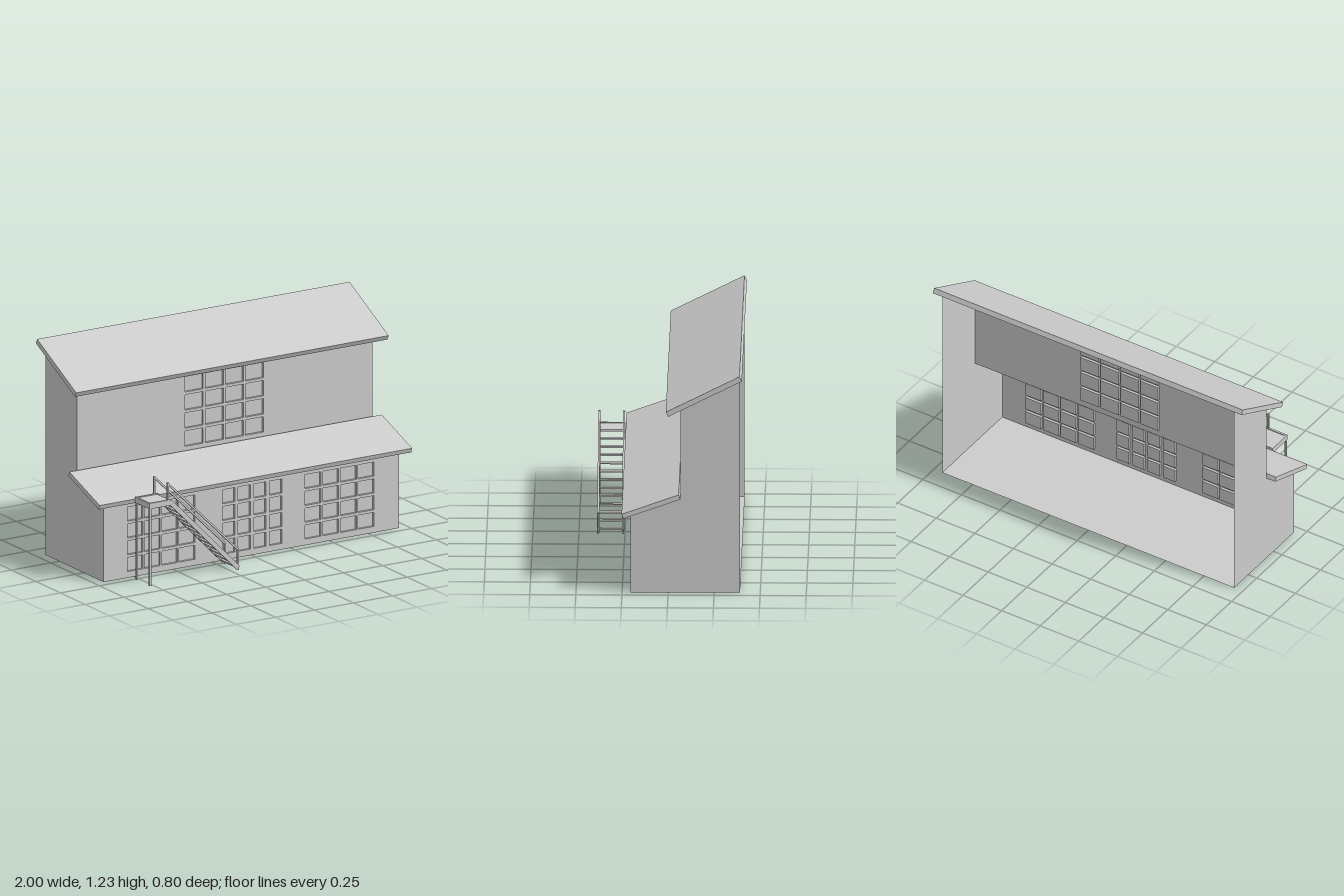
import * as THREE from 'three';

const mat = new THREE.MeshStandardMaterial({ color: 0xcccccc, side: THREE.DoubleSide, flatShading: true });

function add(parent, name, geometry, x = 0, y = 0, z = 0) {
  const mesh = new THREE.Mesh(geometry, mat);
  mesh.name = name;
  mesh.position.set(x, y, z);
  parent.add(mesh);
  return mesh;
}

// Straight bar in an x-y plane between two points
function bar(parent, name, [x0, y0], [x1, y1], z, thick, depth) {
  const geo = new THREE.BoxGeometry(Math.hypot(x1 - x0, y1 - y0), thick, depth);
  const mesh = add(parent, name, geo, (x0 + x1) / 2, (y0 + y1) / 2, z);
  mesh.rotation.z = Math.atan2(y1 - y0, x1 - x0);
}

// Sloped slab spanning x, its upper face running from the front to the back edge
function roof(parent, name, [z0, y0], [z1, y1], thick) {
  const geo = new THREE.BoxGeometry(2, thick, Math.hypot(z1 - z0, y1 - y0));
  geo.translate(0, -thick / 2, 0);
  const mesh = add(parent, name, geo, 0, (y0 + y1) / 2, (z0 + z1) / 2);
  mesh.rotation.x = Math.atan2(y1 - y0, z0 - z1);
}

const HALF = 0.945;
const RECESS = 0.015;

function rect(path, x0, y0, x1, y1) {
  return path.moveTo(x0, y0).lineTo(x1, y0).lineTo(x1, y1).lineTo(x0, y1).closePath();
}

// Thin wall with 4 x 4 groups of panes, each pane pushed back into the wall
function windowWall(parent, name, y0, y1, z, windows) {
  const shape = rect(new THREE.Shape(), -HALF, y0, HALF, y1);
  const group = new THREE.Group();
  group.name = name;
  parent.add(group);
  for (const { left, right, bottom, top, gap } of windows) {
    const w = (right - left - 3 * gap) / 4;
    const h = (top - bottom - 3 * 0.016) / 4;
    for (let i = 0; i < 4; i++) {
      for (let j = 0; j < 4; j++) {
        const x = left + i * (w + gap);
        const y = bottom + j * (h + 0.016);
        shape.holes.push(rect(new THREE.Path(), x, y, x + w, y + h));
        // Open-fronted box: drop the +z face
        const geo = new THREE.BoxGeometry(w, h, RECESS);
        const index = Array.from(geo.index.array);
        index.splice(24, 6);
        geo.setIndex(index);
        geo.clearGroups();
        add(group, 'windowPane', geo, x + w / 2, y + h / 2, z - RECESS / 2);
      }
    }
  }
  add(group, 'wallFace', new THREE.ShapeGeometry(shape), 0, 0, z);
}

function buildStairs() {
  const stairs = new THREE.Group();
  stairs.name = 'stairs';
  const zMid = 0.327;

  // Both sides: stringer, handrail, its posts, platform edge and leg
  for (const z of [0.26, 0.395]) {
    bar(stairs, 'stringer', [-0.64, 0.456], [-0.205, 0.012], z, 0.026, 0.012);
    bar(stairs, 'handrail', [-0.657, 0.564], [-0.203, 0.114], z, 0.011, 0.011);
    bar(stairs, 'topPost', [-0.655, 0.44], [-0.655, 0.567], z, 0.01, 0.01);
    bar(stairs, 'bottomPost', [-0.205, 0], [-0.205, 0.118], z, 0.01, 0.01);
    bar(stairs, 'platformEdge', [-0.775, 0.453], [-0.635, 0.453], z, 0.032, 0.012);
    bar(stairs, 'platformLeg', [-0.768, 0], [-0.768, 0.44], z, 0.011, 0.011);
  }

  // Platform
  add(stairs, 'platformDeck', new THREE.BoxGeometry(0.13, 0.012, 0.125), -0.705, 0.459, zMid);
  add(stairs, 'platformEndEdge', new THREE.BoxGeometry(0.01, 0.032, 0.135), -0.77, 0.453, zMid);

  // Treads
  for (let i = 0; i < 12; i++) {
    add(stairs, 'tread', new THREE.BoxGeometry(0.026, 0.008, 0.125),
      -0.222 - i * 0.0355, 0.026 + i * 0.036, zMid);
  }
  return stairs;
}

export function createModel() {
  const model = new THREE.Group();
  model.name = 'building';

  // Side walls, drawn in (z, y) and turned to face along x
  const profile = [[-0.39, 0], [0.205, 0], [0.205, 0.443], [-0.068, 0.54], [-0.068, 1.04], [-0.39, 1.203]];
  const side = new THREE.Shape(profile.map(([z, y]) => new THREE.Vector2(-z, y)));
  for (const x of [-HALF, HALF]) {
    add(model, x > 0 ? 'leftWall' : 'rightWall', new THREE.ShapeGeometry(side).rotateY(Math.PI / 2), x);
  }

  // Floor; the back stays open
  add(model, 'floor', new THREE.PlaneGeometry(2 * HALF, 0.595).rotateX(-Math.PI / 2), 0, 0, -0.0925);

  // Front walls
  const low = { bottom: 0.035, top: 0.4 };
  windowWall(model, 'lowerFrontWall', 0, 0.443, 0.205, [
    { left: -0.793, right: -0.362, gap: 0.011, ...low },
    { left: -0.184, right: 0.195, gap: 0.021, ...low },
    { left: 0.345, right: 0.785, gap: 0.012, ...low },
  ]);
  windowWall(model, 'upperFrontWall', 0.54, 1.04, -0.068, [
    { left: -0.253, right: 0.25, gap: 0.013, bottom: 0.587, top: 0.982 },
  ]);

  // Roofs
  roof(model, 'lowerRoof', [0.252, 0.456], [-0.058, 0.566], 0.027);
  roof(model, 'upperRoof', [0.012, 1.033], [-0.388, 1.234], 0.029);

  model.add(buildStairs());
  return model;
}
